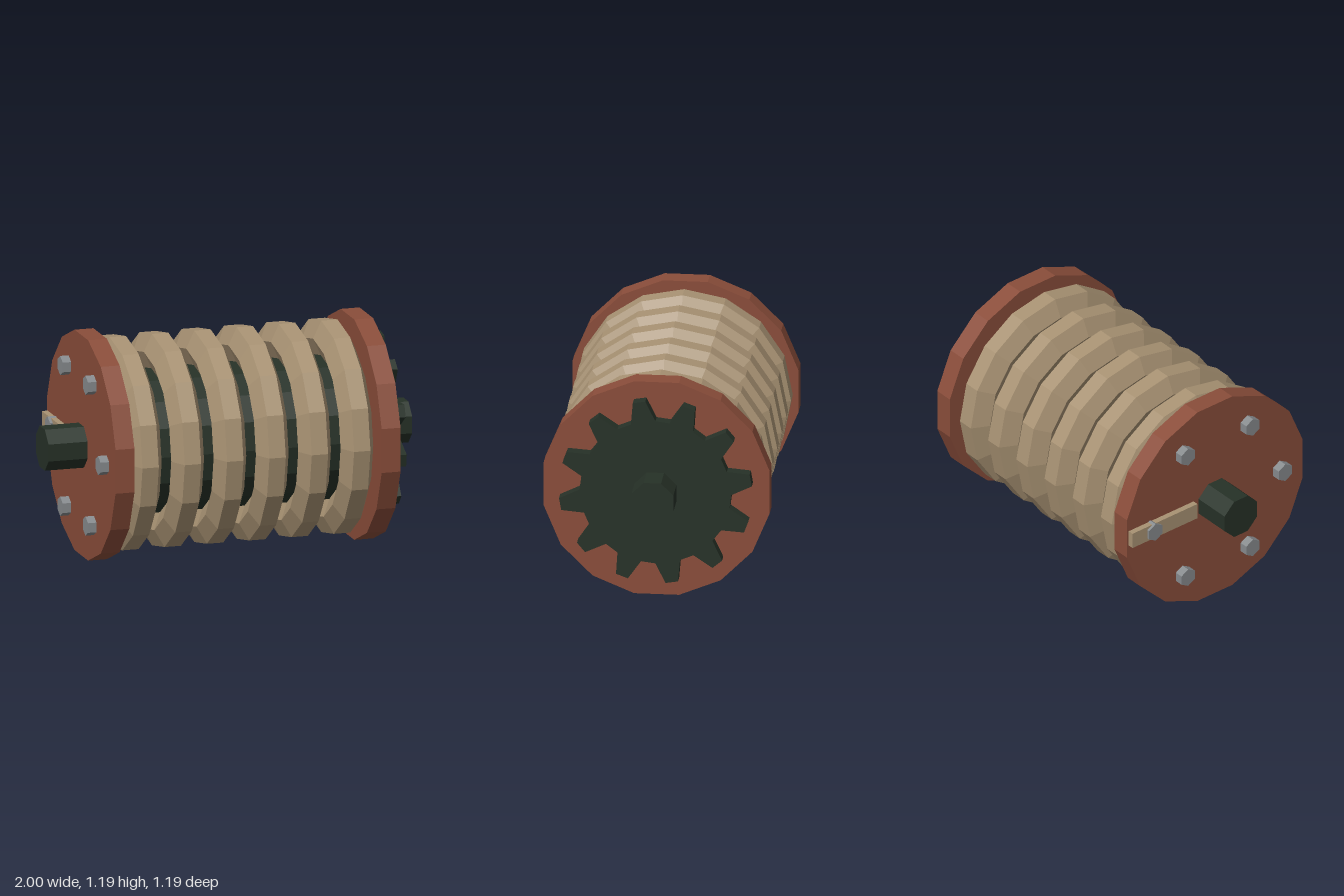
import * as THREE from 'three';

const CY = 0.598; // height of the drum axis

export function createModel() {
  const model = new THREE.Group();
  const mat = (name, color) => {
    const m = new THREE.MeshStandardMaterial({ color });
    m.name = name;
    return m;
  };
  const rust = mat('rust', 0x8a4d3a);
  const darkGreen = mat('darkGreen', 0x263127);
  const rope = mat('rope', 0xa89273);
  const steel = mat('steel', 0x868a8d);

  // Faceted mesh, positioned relative to the drum axis
  const add = (name, geometry, material, x, y = 0, z = 0) => {
    const g = geometry.index ? geometry.toNonIndexed() : geometry;
    g.computeVertexNormals();
    const mesh = new THREE.Mesh(g, material);
    mesh.name = name;
    mesh.position.set(x, CY + y, z);
    model.add(mesh);
  };

  // Prism lying along x, turned about its own axis
  const prism = (radius, length, sides, turn = 0) =>
    new THREE.CylinderGeometry(radius, radius, length, sides).rotateY(turn).rotateZ(-Math.PI / 2);

  // Axle and core
  add('axle', prism(0.12, 2, 8, Math.PI / 8), darkGreen, 0);
  add('drumCore', prism(0.386, 1.4, 16), darkGreen, 0);

  // End flanges
  for (const x of [-0.733, 0.731]) add('flange', prism(0.608, 0.104, 16, Math.PI / 16), rust, x);

  // Rope coils: hexagonal section swept round the axis
  const section = [
    [0.478, 0.09], [0.38, 0.045], [0.38, -0.045], [0.478, -0.09],
    [0.572, -0.045], [0.572, 0.045], [0.478, 0.09],
  ].map(([r, a]) => new THREE.Vector2(r, a));
  for (let i = 0; i < 6; i++) {
    add('ropeCoil', new THREE.LatheGeometry(section, 16).rotateZ(-Math.PI / 2), rope, -0.584 + i * 0.2328);
  }

  // Twelve-toothed gear with slightly slanted teeth
  const tooth = [[0, 0.4], [11, 0.398], [16.5, 0.511], [24, 0.511]];
  const outline = [];
  for (let i = 0; i < 12; i++) {
    for (const [deg, r] of tooth) {
      const a = THREE.MathUtils.degToRad(i * 30 + deg);
      outline.push(new THREE.Vector2(r * Math.sin(a), r * Math.cos(a)));
    }
  }
  const gear = new THREE.ExtrudeGeometry(new THREE.Shape(outline), { depth: 0.065, bevelEnabled: false });
  add('gear', gear.rotateY(Math.PI / 2), darkGreen, 0.78);

  // Flange bolts
  for (let i = 0; i < 6; i++) {
    const a = (i * Math.PI) / 3;
    add('bolt', prism(0.052, 0.06, 6, Math.PI / 6), steel, -0.802, 0.44 * Math.sin(a), 0.44 * Math.cos(a));
  }

  // Flat rope tail clamped under one bolt
  add('ropeTail', new THREE.BoxGeometry(0.04, 0.09, 0.44), rope, -0.797, 0, -0.365);

  return model;
}
